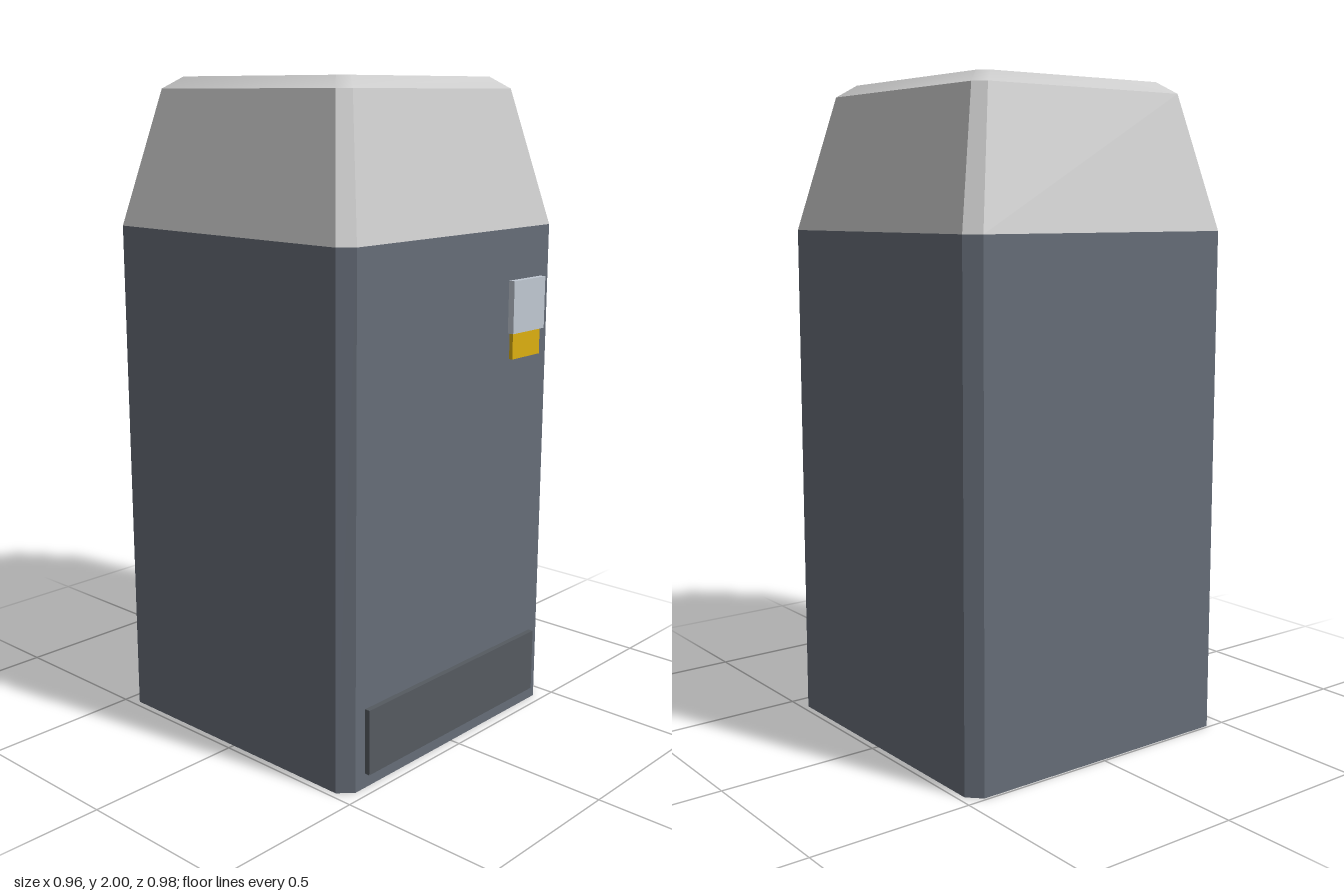
import * as THREE from 'three';
import { toCreasedNormals } from 'three/addons/utils/BufferGeometryUtils.js';

const BODY_Z = -0.012; // the cabinet sits slightly back, leaving room for the front panels
const FRONT = 0.467;

// Square of half-width h with corners cut by c, counter-clockwise from above
function ring([y, h, c]) {
  const k = h - c;
  return [[h, -k], [h, k], [k, h], [-k, h], [-h, k], [-h, -k], [-k, -h], [k, -h]]
    .map(([u, v]) => [u, y, -v]);
}

// Closed loft through sections given as [y, halfWidth, cornerCut]
function loft(sections) {
  const n = 8, last = (sections.length - 1) * n;
  const index = [];
  for (let s = 0; s < last; s += n) {
    for (let i = 0; i < n; i++) {
      const j = (i + 1) % n;
      index.push(s + i, s + j, s + n + j, s + i, s + n + j, s + n + i);
    }
  }
  for (let i = 1; i < n - 1; i++) {
    index.push(0, i + 1, i, last, last + i, last + i + 1);
  }
  const geometry = new THREE.BufferGeometry();
  geometry.setAttribute('position', new THREE.Float32BufferAttribute(sections.flatMap(ring).flat(), 3));
  geometry.setIndex(index);
  return toCreasedNormals(geometry, 0.52);
}

export function createModel() {
  const group = new THREE.Group();
  const add = (name, geometry, color, x, y, z) => {
    const mesh = new THREE.Mesh(geometry, new THREE.MeshStandardMaterial({ color }));
    mesh.name = name;
    mesh.position.set(x, y, z);
    group.add(mesh);
  };
  // Thin plate standing proud of the front face
  const plate = (name, color, x, y, w, h, depth) =>
    add(name, new THREE.BoxGeometry(w, h, depth + 0.02), color, x, y, FRONT + depth / 2 - 0.01);

  // Cabinet with chamfered corners
  add('cabinetBody', loft([[0, 0.48, 0.04], [1.56, 0.48, 0.04]]), 0x666d78, 0, 0, BODY_Z);

  // Tapered lid with a bevelled top edge
  add('taperedLid', loft([[1.56, 0.48, 0.04], [1.965, 0.385, 0.032], [2, 0.337, 0.028]]),
    0xcccccc, 0, 0, BODY_Z);

  // Front details
  plate('displayPanel', 0xc0c8d2, 0.32, 1.325, 0.16, 0.16, 0.021);
  plate('yellowLabel', 0xdcb010, 0.32, 1.205, 0.14, 0.08, 0.013);
  plate('lowerPanel', 0x555a60, 0, 0.145, 0.8, 0.2, 0.018);

  return group;
}
